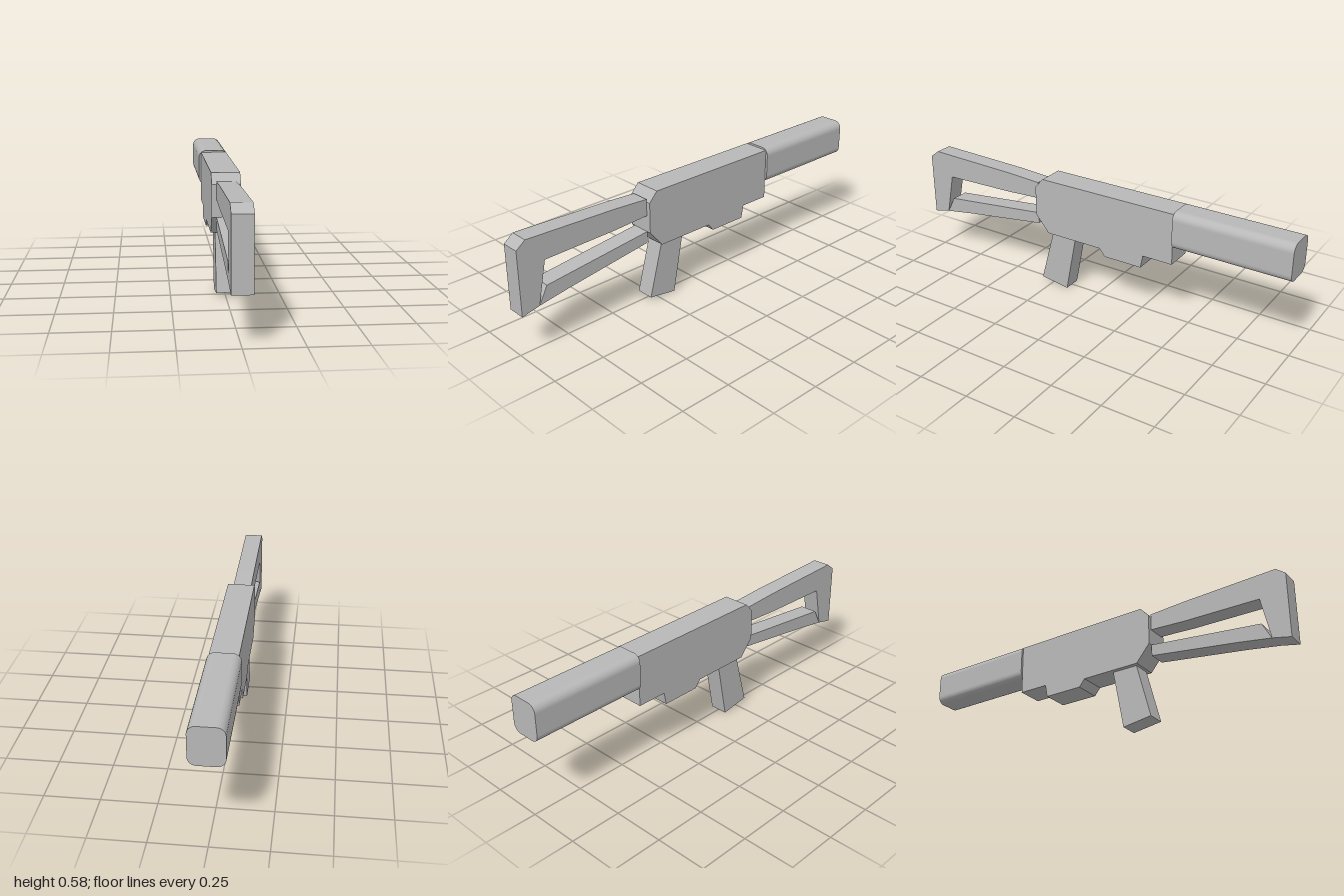
import * as THREE from 'three';

const grey = new THREE.MeshStandardMaterial({ color: 0xb8b8b8 });
grey.name = 'grey';
grey.flatShading = true;

// Side profile given as [z, y] points, extruded symmetrically across x
function plate(name, points, width) {
  const shape = new THREE.Shape(points.map(([z, y]) => new THREE.Vector2(z, y)));
  const geometry = new THREE.ExtrudeGeometry(shape, { depth: width, bevelEnabled: false });
  geometry.translate(0, 0, -width / 2).rotateY(-Math.PI / 2);
  const mesh = new THREE.Mesh(geometry, grey);
  mesh.name = name;
  return mesh;
}

// Rounded rectangle section extruded along z
function roundedBar(name, halfW, halfH, radius, y, zBack, zFront) {
  const shape = new THREE.Shape();
  const cx = halfW - radius, cy = halfH - radius;
  [[cx, cy], [-cx, cy], [-cx, -cy], [cx, -cy]].forEach(([px, py], i) => {
    shape.absarc(px, py, radius, i * Math.PI / 2, (i + 1) * Math.PI / 2, false);
  });
  shape.closePath();
  const geometry = new THREE.ExtrudeGeometry(shape, {
    depth: zFront - zBack, bevelEnabled: false, curveSegments: 4,
  });
  geometry.translate(0, y, zBack);
  const mesh = new THREE.Mesh(geometry, grey);
  mesh.name = name;
  return mesh;
}

export function createModel() {
  const group = new THREE.Group();
  group.name = 'launcher';
  const narrow = 0.088;

  // Main body with chamfered end and stepped underside
  group.add(plate('body', [
    [0.318, 0.52], [0.318, 0.373], [0.248, 0.29], [-0.047, 0.29], [-0.077, 0.254],
    [-0.272, 0.254], [-0.284, 0.317], [-0.434, 0.317], [-0.434, 0.567], [0.275, 0.567],
  ], 0.13));

  // Thick rounded barrel
  group.add(roundedBar('barrel', 0.076, 0.0895, 0.037, 0.4865, -1, -0.434));

  // Stock: upper arm and end post
  group.add(plate('stock', [
    [0.318, 0.533], [0.318, 0.452], [0.495, 0.442], [0.869, 0.434], [0.912, 0.231],
    [1, 0.211], [1, 0.521], [0.955, 0.556], [0.495, 0.543],
  ], narrow));

  // Lower strut of the stock
  group.add(plate('stockStrut', [
    [0.318, 0.373], [0.318, 0.317], [0.757, 0.256], [0.912, 0.231], [0.869, 0.313], [0.75, 0.326],
  ], narrow));

  // Slanted hand grip
  group.add(plate('grip', [
    [0.231, 0.3], [0.305, 0.022], [0.158, 0], [0.102, 0.3],
  ], narrow));

  return group;
}
